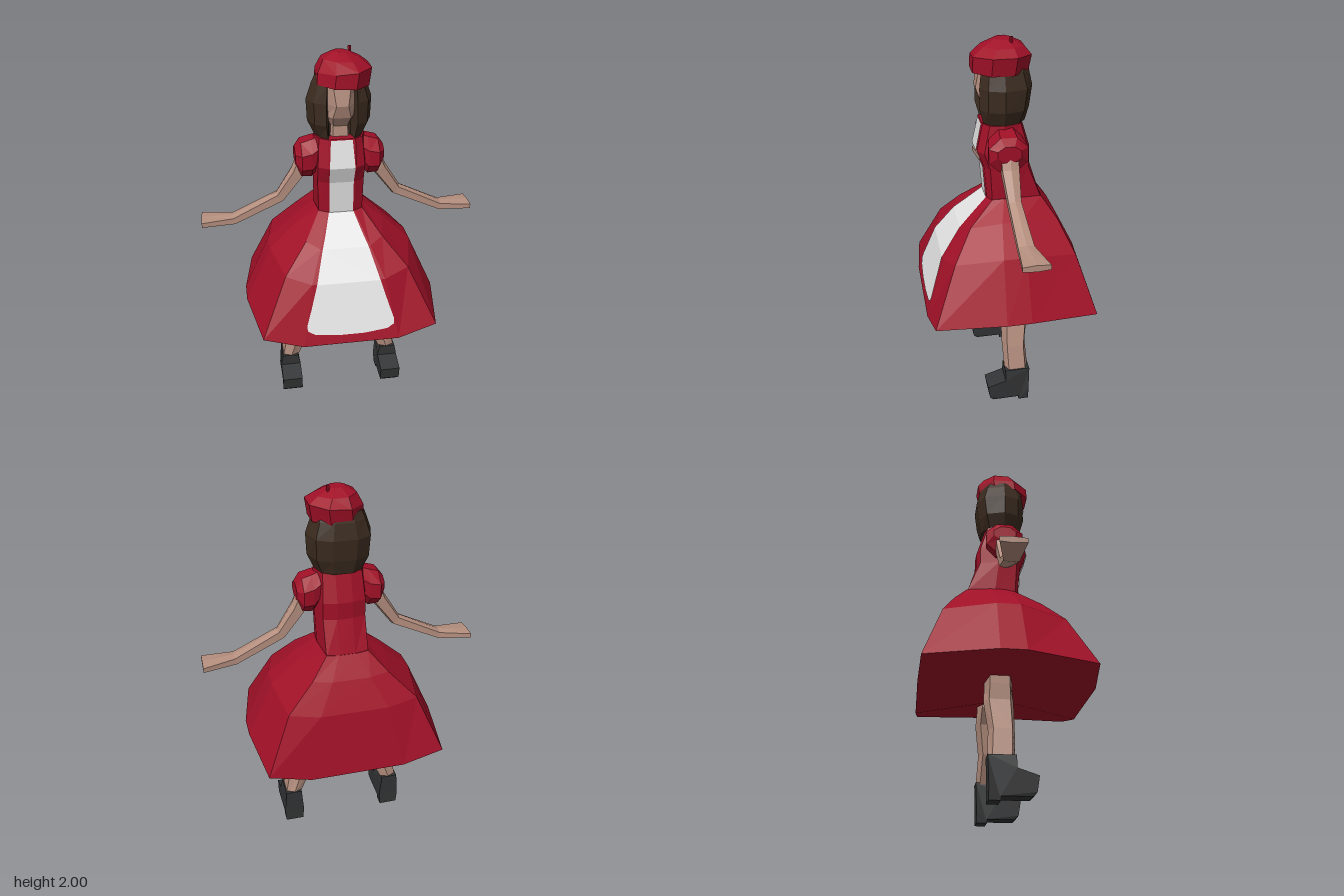
import * as THREE from 'three';

const paint = (name, color, side = THREE.FrontSide) => {
  const m = new THREE.MeshStandardMaterial({ color, side });
  m.name = name;
  return m;
};

// Flat-shaded skin through closed rings of [x, y, z]; ends are closed with fans.
function loft(rings, endCentre) {
  const tris = [];
  const n = rings[0].length;
  for (let r = 0; r < rings.length - 1; r++) {
    for (let i = 0; i < n; i++) {
      const j = (i + 1) % n;
      const [a, b, c, d] = [rings[r][i], rings[r][j], rings[r + 1][j], rings[r + 1][i]];
      tris.push([a, b, c], [a, c, d]);
    }
  }
  const mean = (ring) => [0, 1, 2].map((k) => ring.reduce((s, p) => s + p[k], 0) / n);
  const first = rings[0], last = rings[rings.length - 1];
  const c0 = endCentre || mean(first), c1 = mean(last);
  for (let i = 0; i < n; i++) {
    const j = (i + 1) % n;
    tris.push([c0, first[j], first[i]], [c1, last[i], last[j]]);
  }
  // Turn every face outward, whatever the ring direction
  const v = (p) => new THREE.Vector3(...p);
  const mid = v(mean(first));
  const volume = tris.reduce((s, [a, b, c]) =>
    s + v(a).sub(mid).dot(v(b).sub(mid).cross(v(c).sub(mid))), 0);
  if (volume < 0) tris.forEach((t) => t.reverse());
  return fromTriangles(tris);
}

function fromTriangles(tris) {
  const g = new THREE.BufferGeometry();
  g.setAttribute('position', new THREE.Float32BufferAttribute(tris.flat(2), 3));
  g.computeVertexNormals();
  return g;
}

// Half a ring (front to back, +x side) completed by its mirror image
const mirrored = (half) => [...half, ...half.map(([x, y, z]) => [-x, y, z]).reverse()];
const level = (y, pts) => mirrored(pts.map(([x, z]) => [x, y, z]));

// Symmetric front panel from rows of [halfWidth, y, z], top to bottom
function panel(rows) {
  const tris = [];
  for (let i = 0; i < rows.length - 1; i++) {
    const [w, y, z] = rows[i], [W, Y, Z] = rows[i + 1];
    tris.push([[-w, y, z], [-W, Y, Z], [W, Y, Z]], [[-w, y, z], [W, Y, Z], [w, y, z]]);
  }
  return fromTriangles(tris);
}

// Six-sided limb section, in units of width and thickness
const SECTION = [[0.5, 0.35], [0, 0.5], [-0.5, 0.35], [-0.5, -0.35], [0, -0.5], [0.5, -0.35]];

export function createModel() {
  const model = new THREE.Group();
  const red = paint('dress red', 0xa01027);
  const white = paint('apron white', 0xe4e4e4, THREE.DoubleSide);
  const skin = paint('skin', 0xb58f7f);
  const brown = paint('hair brown', 0x3b2b1f);
  const black = paint('boot black', 0x333435);
  const add = (name, geometry, material) => {
    const mesh = new THREE.Mesh(geometry, material);
    mesh.name = name;
    model.add(mesh);
    return mesh;
  };

  // Flared skirt, squarish in plan, with the hem lifted at the sides
  add('skirt', loft([
    [[0.25, 0.58, 0.44], [0.455, 0.63, 0.415], [0.52, 0.655, 0.06], [0.52, 0.655, -0.07], [0.47, 0.63, -0.43], [0.25, 0.58, -0.44]],
    [[0.19, 0.885, 0.335], [0.32, 0.92, 0.29], [0.38, 0.96, 0.05], [0.38, 0.96, -0.07], [0.34, 0.93, -0.335], [0.18, 0.91, -0.36]],
    [[0.13, 1.03, 0.23], [0.2, 1.06, 0.19], [0.235, 1.09, 0.03], [0.235, 1.09, -0.07], [0.2, 1.07, -0.27], [0.1, 1.06, -0.285]],
    [[0.07, 1.165, 0.08], [0.115, 1.17, 0.06], [0.125, 1.175, 0], [0.125, 1.175, -0.07], [0.11, 1.17, -0.2], [0.05, 1.165, -0.205]],
  ].map(mirrored), [0, 0.585, 0]), red);

  // Bodice
  add('bodice', loft([
    level(1.16, [[0.07, 0.08], [0.115, 0.06], [0.127, -0.05], [0.11, -0.2], [0.04, -0.205]]),
    level(1.34, [[0.07, 0.095], [0.12, 0.07], [0.132, -0.03], [0.11, -0.13], [0.04, -0.148]]),
    level(1.43, [[0.07, 0.13], [0.12, 0.1], [0.138, 0], [0.11, -0.13], [0.04, -0.148]]),
    level(1.575, [[0.07, 0.1], [0.11, 0.07], [0.13, 0], [0.1, -0.09], [0.04, -0.105]]),
  ]), red);

  // Apron follows the front slope of the skirt; bib follows the bodice
  const slope = [[1.165, 0.08], [1.03, 0.23], [0.885, 0.335], [0.58, 0.44]];
  const frontZ = (y) => {
    const i = y > 1.03 ? 0 : y > 0.885 ? 1 : 2;
    const [y0, z0] = slope[i], [y1, z1] = slope[i + 1];
    return z0 + (z1 - z0) * (y - y0) / (y1 - y0);
  };
  add('apron', panel([
    [0.065, 1.165], [0.098, 1.08], [0.12, 1.03], [0.165, 0.885], [0.2, 0.77],
    [0.228, 0.685], [0.226, 0.66], [0.19, 0.64], [0.07, 0.627],
  ].map(([w, y]) => [w, y, frontZ(y) + 0.006])), white);
  add('bib', panel([
    [0.055, 1.57, 0.105], [0.065, 1.43, 0.135], [0.063, 1.34, 0.1], [0.063, 1.165, 0.086],
  ]), white);

  // Neck and face, jutting at the nose and receding to the chin
  add('neck', loft([
    level(1.54, [[0.04, 0.06], [0.065, 0], [0.04, -0.06]]),
    level(1.67, [[0.035, 0.055], [0.055, 0], [0.035, -0.06]]),
  ]), skin);
  add('head', loft([
    level(1.63, [[0.035, 0.06], [0.06, 0], [0.04, -0.06]]),
    level(1.685, [[0.045, 0.105], [0.073, 0.05], [0.06, -0.07]]),
    level(1.75, [[0.03, 0.127], [0.08, 0.06], [0.07, -0.08]]),
    level(1.86, [[0.045, 0.108], [0.08, 0.05], [0.07, -0.08]]),
  ]), skin);

  // Bobbed hair with a gap for the face
  const hairRing = (y, s, front, back) => level(y, [
    [0.055, 0.035], [0.077 * Math.min(1, s + 0.1), front], [0.135 * s, front - 0.035],
    [0.165 * s, 0], [0.135 * s, back + 0.04], [0.06 * s, back],
  ]);
  add('hair', loft([
    hairRing(1.575, 0.76, 0.095, -0.12),
    hairRing(1.65, 0.97, 0.115, -0.138),
    hairRing(1.76, 1, 0.115, -0.152),
    hairRing(1.84, 0.83, 0.105, -0.135),
    hairRing(1.88, 0.72, 0.1, -0.12),
  ], [0, 1.59, -0.09]), brown);

  // Beret, slightly tipped to the left side, with its stem
  const hatRing = ([cx, y, cz, rx, rz, tilt]) => Array.from({ length: 8 }, (_, i) => {
    const a = (i + 0.5) * Math.PI / 4;
    const c = Math.cos(a) / 0.924, s = Math.sin(a) / 0.924;
    return [cx + rx * c, y - tilt * c, cz + rz * s];
  });
  add('beret', loft([
    [0.012, 1.838, 0.008, 0.128, 0.138, 0.008],
    [0.022, 1.91, 0, 0.132, 0.143, -0.008],
    [0.015, 1.955, -0.01, 0.095, 0.1, 0.003],
    [0.012, 1.985, -0.01, 0.04, 0.04, 0.002],
  ].map(hatRing)), red);
  const stem = add('beretStem', new THREE.CylinderGeometry(0.009, 0.007, 0.04, 5).toNonIndexed(), red);
  stem.geometry.computeVertexNormals();
  stem.position.set(0.06, 1.98, -0.045);

  // Boot side profile in [z, y]
  const boot = new THREE.Shape([
    [-0.1, 0], [-0.045, 0], [-0.045, 0.02], [0.1, 0.02], [0.12, 0.04], [0.132, 0.115],
    [0.03, 0.148], [0.03, 0.21], [-0.105, 0.21], [-0.1, 0.07],
  ].map(([z, y]) => new THREE.Vector2(z, y)));
  const bootGeometry = new THREE.ExtrudeGeometry(boot, { depth: 0.1, bevelEnabled: false });
  bootGeometry.translate(0, 0, -0.05).rotateY(-Math.PI / 2);
  const p = bootGeometry.attributes.position;
  for (let i = 0; i < p.count; i++) { // wider at the ankle than at cuff and sole
    const y = p.getY(i);
    p.setX(i, p.getX(i) * (y > 0.18 ? 0.9 : y > 0.03 ? 1.13 : 1));
  }
  bootGeometry.computeVertexNormals();

  for (const s of [1, -1]) {
    const side = s > 0 ? 'left' : 'right';

    // Puffed sleeve: [x, y, half height, half depth]
    add(side + 'Sleeve', loft([
      [0.09, 1.495, 0.075, 0.075], [0.145, 1.455, 0.1, 0.095],
      [0.198, 1.45, 0.09, 0.1], [0.228, 1.465, 0.04, 0.06],
    ].map(([x, y, h, d]) => Array.from({ length: 8 }, (_, i) => {
      const a = (i + 0.5) * Math.PI / 4;
      return [s * x, y + h * Math.sin(a) / 0.924, -0.008 + d * Math.cos(a) / 0.924];
    }))), red);

    // Arm and flat hand: [x, y, thickness, z, width, downward angle]
    add(side + 'Arm', loft([
      [0.17, 1.47, 0.085, -0.012, 0.085, 1.05], [0.215, 1.37, 0.075, -0.012, 0.085, 1],
      [0.31, 1.235, 0.06, -0.015, 0.065, 0.7], [0.555, 1.12, 0.047, -0.02, 0.08, 0.25],
      [0.725, 1.115, 0.035, -0.033, 0.135, 0],
    ].map(([x, y, t, z, w, a]) => SECTION.map(([u, v]) =>
      [s * (x + v * t * Math.sin(a)), y + v * t * Math.cos(a), z + u * w]))), skin);

    // Leg: [x, y, width, front z, back z]
    add(side + 'Leg', loft([
      [0.185, 0.62, 0.17, 0.03, -0.11], [0.185, 0.58, 0.168, 0.03, -0.11],
      [0.207, 0.5, 0.115, 0.034, -0.115], [0.24, 0.345, 0.125, 0.034, -0.095],
      [0.29, 0.19, 0.085, 0.028, -0.103],
    ].map(([x, y, w, f, b]) => SECTION.map(([u, v]) =>
      [s * (x + u * w), y, (f + b) / 2 + v * (f - b)]))), skin);

    add(side + 'Boot', bootGeometry, black).position.x = s * 0.29;
  }
  return model;
}
